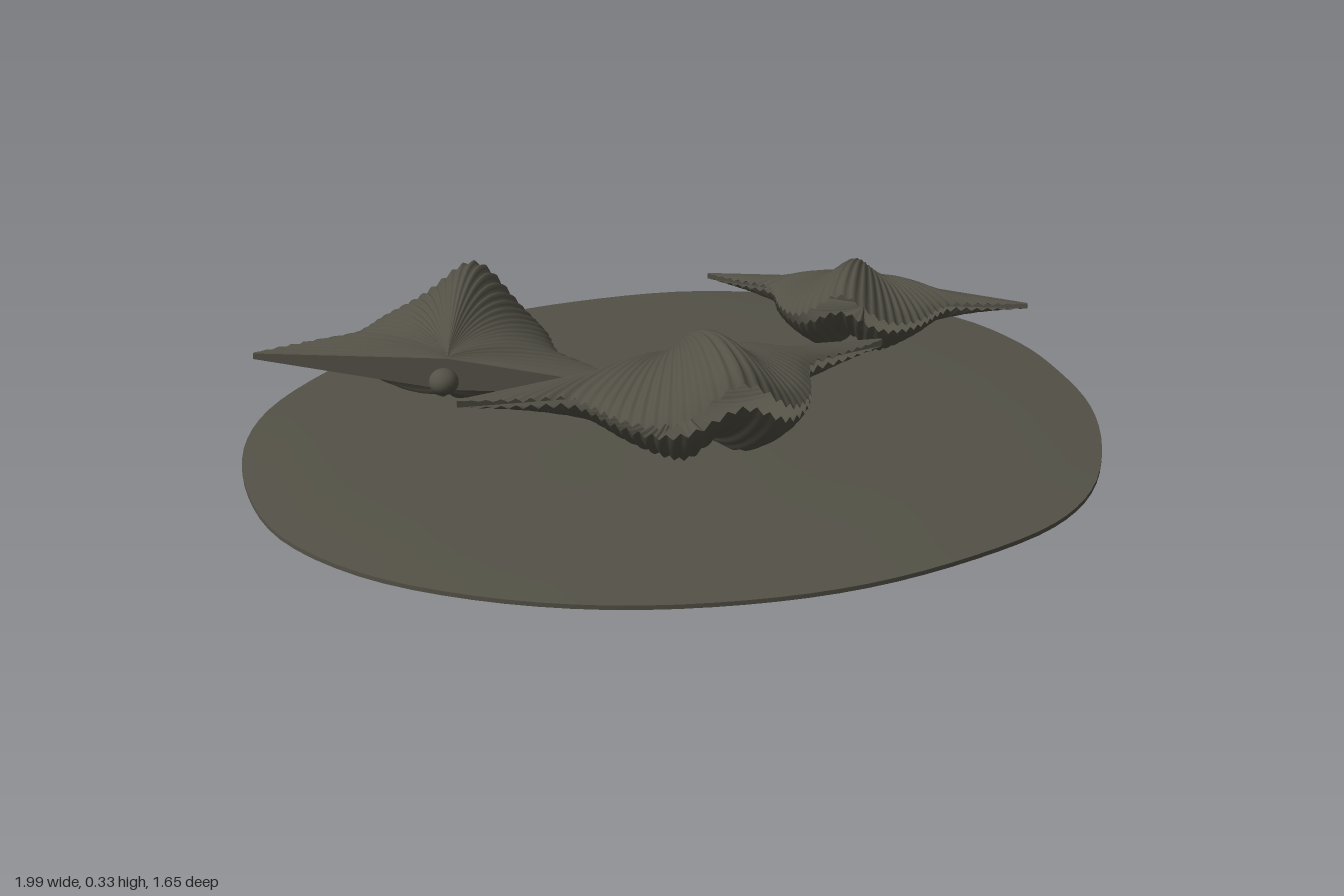
import * as THREE from 'three';

const stone = new THREE.MeshStandardMaterial({ color: 0x545247, side: THREE.DoubleSide });
stone.name = 'olive grey stone';

const v = (x, z) => new THREE.Vector3(x, 0, z);
const bell = (x, w) => Math.exp(-((x / w) ** 2));

// Smooth surface from a rule f(u, w) -> [x, y, z]
function surface(name, nu, nw, f) {
  const pos = [], idx = [];
  for (let j = 0; j <= nw; j++)
    for (let i = 0; i <= nu; i++) pos.push(...f(i / nu, j / nw));
  for (let j = 0; j < nw; j++)
    for (let i = 0; i < nu; i++) {
      const a = j * (nu + 1) + i, b = a + nu + 1;
      idx.push(a, b, a + 1, b, b + 1, a + 1);
    }
  const g = new THREE.BufferGeometry();
  g.setAttribute('position', new THREE.Float32BufferAttribute(pos, 3));
  g.setIndex(idx);
  g.computeVertexNormals();
  const m = new THREE.Mesh(g, stone);
  m.name = name;
  return m;
}

// Irregular low mound of sea floor
function makeBase() {
  const rim = new THREE.CatmullRomCurve3([
    [0, -0.83], [0.28, -0.805], [0.5, -0.72], [0.72, -0.575], [0.9, -0.39], [0.975, -0.18],
    [0.98, 0.02], [0.95, 0.22], [0.86, 0.43], [0.73, 0.61], [0.58, 0.72], [0.36, 0.79],
    [0.1, 0.825], [-0.15, 0.805], [-0.42, 0.73], [-0.66, 0.6], [-0.85, 0.43], [-0.97, 0.22],
    [-1, 0], [-0.97, -0.23], [-0.88, -0.42], [-0.7, -0.6], [-0.48, -0.74], [-0.24, -0.81],
  ].map(([x, z]) => v(x, z)), true);
  const pts = rim.getPoints(96);
  const skin = (name, height) => surface(name, 96, 14, (u, r) => {
    const p = pts[Math.round(u * 96)];
    return [p.x * r, height(r, p.x * r, p.z * r), p.z * r];
  });
  const ripple = (r, x, z) => 0.002 * Math.sin(9 * x + 2 * z) * Math.sin(7 * z) * (1 - r);
  const g = new THREE.Group();
  g.name = 'seabed';
  g.add(
    skin('seabedTop', (r, x, z) => 0.01 + 0.025 * (1 - r ** 3) + ripple(r, x, z)),
    skin('seabedUnderside', (r) => 0.026 * (1 - r ** 3)),
    surface('seabedRim', 96, 1, (u, w) => {
      const p = pts[Math.round(u * 96)];
      return [p.x, 0.01 * w, p.z];
    }),
  );
  return g;
}

// Half outline of a winged shell, hinge tip to front, mirrored for the other side
const half = [[0.52, 0], [0.45, 0.04], [0.37, 0.08], [0.29, 0.115], [0.26, 0.17],
  [0.23, 0.25], [0.175, 0.33], [0.095, 0.395]];
const outline = new THREE.CatmullRomCurve3([
  ...half.map(([x, z]) => v(x, z)), v(0, 0.415),
  ...half.slice().reverse().map(([x, z]) => v(-x, z)),
]);
const RIBS = 42, STEPS = RIBS * 4;
const edge = outline.getSpacedPoints(STEPS);
const HINGE_Y = 0.135, BEAK = 0.045, HALF_HINGE = 0.52;

// One ribbed valve radiating from its beak; side is 1 for upper, -1 for lower
function makeValve(side) {
  return surface(side > 0 ? 'upperValve' : 'lowerValve', STEPS, 22, (u, r) => {
    const p = edge[Math.round(u * STEPS)], X = p.x;
    const wing = Math.min(1, p.z / 0.1);
    const arch = Math.max(0, Math.sin(Math.PI * r)) ** 0.7;
    const bulge = side > 0
      ? 0.022 + 0.103 * bell(X, 0.24)
      : 0.02 + 0.1 * bell(X, 0.28) - 0.055 * bell(X, 0.075);
    const lip = side > 0
      ? 0.025 + 0.115 * bell(X, 0.11)
      : 0.008 + 0.077 * bell(X, 0.1);
    const rib = 0.007 * r * wing * Math.cos(u * RIBS * Math.PI * 2);
    const y = HINGE_Y + side * (BEAK * (1 - r) + 0.008 * r * (1 - wing))
      + side * bulge * arch * wing + lip * r * r * wing + rib;
    return [X * r, y, p.z * r];
  });
}

function makeShell(name, x, z, scale, turn, tilt = 0) {
  const g = new THREE.Group();
  g.name = name;
  g.add(makeValve(1), makeValve(-1));

  // Flat hinge plate closing the back
  const s = new THREE.Shape();
  s.moveTo(-HALF_HINGE, -0.008);
  s.lineTo(0, -BEAK);
  s.lineTo(HALF_HINGE, -0.008);
  s.lineTo(HALF_HINGE, 0.008);
  s.lineTo(0, BEAK);
  s.lineTo(-HALF_HINGE, 0.008);
  const plate = new THREE.Mesh(
    new THREE.ExtrudeGeometry(s, { depth: 0.008, bevelEnabled: false }), stone);
  plate.position.set(0, HINGE_Y, -0.007);
  plate.name = 'hingePlate';

  // Fleshy stalk end behind the hinge
  const knob = new THREE.Mesh(new THREE.SphereGeometry(0.039, 20, 14), stone);
  knob.position.set(0, 0.132, -0.048);
  knob.scale.y = 0.9;
  knob.name = 'stalkKnob';
  g.add(plate, knob);

  g.position.set(x, 0, z);
  g.scale.setScalar(scale);
  g.rotation.set(0, turn, tilt);
  return g;
}

export function createModel() {
  const model = new THREE.Group();
  model.name = 'shellCluster';
  model.add(
    makeBase(),
    makeShell('frontShell', 0, -0.03, 1, 0),
    makeShell('backRightShell', -0.495, -0.245, 0.88, 2.7, 0.06),
    makeShell('backLeftShell', 0.65, -0.415, 0.795, -0.605),
  );
  return model;
}
